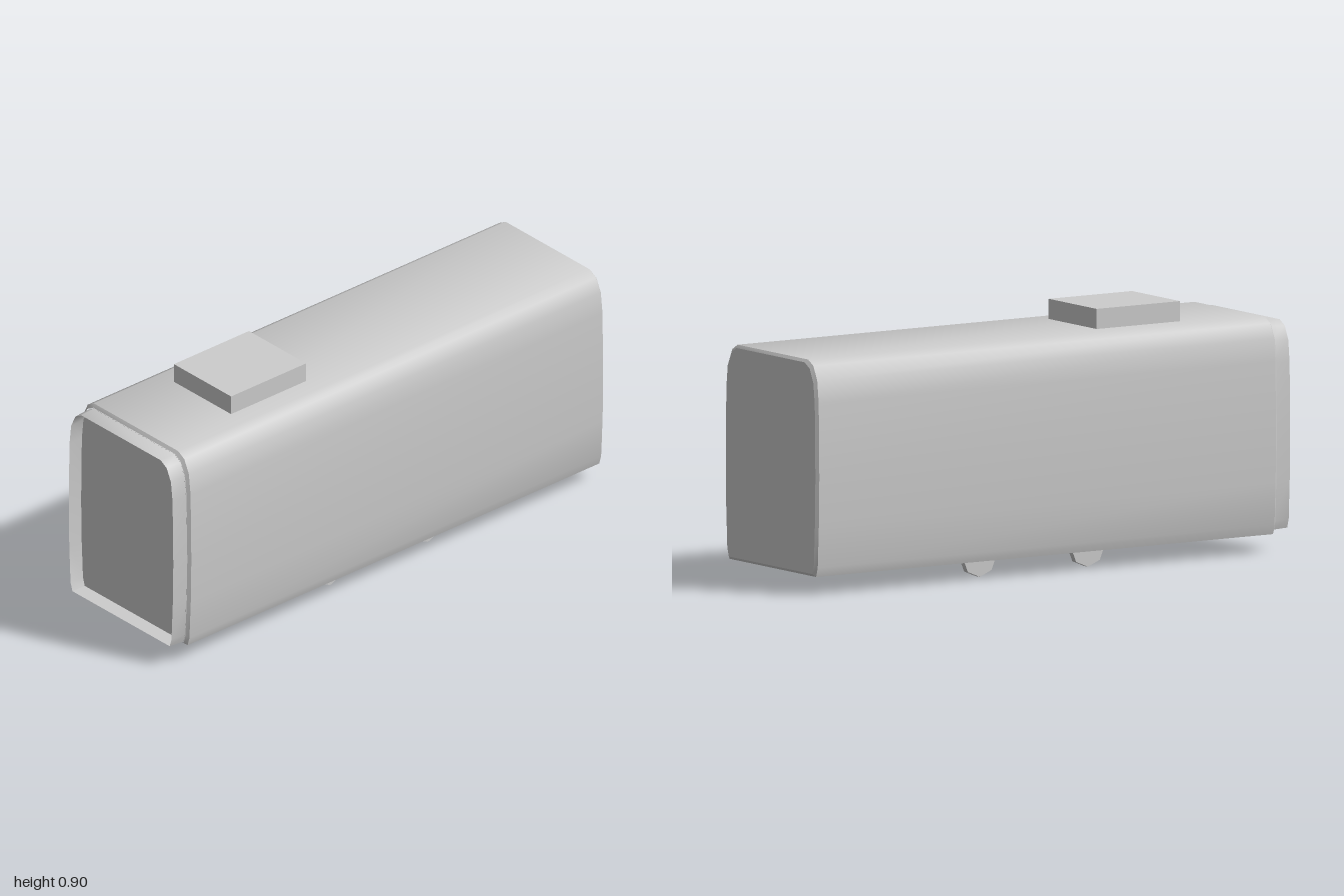
import * as THREE from 'three';
import { toCreasedNormals } from 'three/addons/utils/BufferGeometryUtils.js';

// right half of the body cross-section, bottom to top
const HALF = [
  [0.272, 0.067], [0.282, 0.1], [0.289, 0.25], [0.292, 0.42],
  [0.288, 0.68], [0.279, 0.76], [0.255, 0.81], [0.222, 0.829],
];
const PROFILE = [...HALF, ...HALF.map(([x, y]) => [-x, y]).reverse()];
const MID = 0.448;

// cross-section shrunk by a uniform inset
function section(inset) {
  const sx = 1 - inset / 0.292, sy = 1 - inset / 0.381;
  return PROFILE.map(([x, y]) => [x * sx, MID + (y - MID) * sy]);
}

// skin through stations [z, inset], ordered back to front
function loft(stations) {
  const pos = [], idx = [], n = PROFILE.length;
  for (const [z, inset] of stations) {
    for (const [x, y] of section(inset)) pos.push(x, y, z);
  }
  for (let s = 0; s < stations.length - 1; s++) {
    for (let i = 0; i < n; i++) {
      const a = s * n + i, b = s * n + (i + 1) % n;
      idx.push(a, b, a + n, b, b + n, a + n);
    }
  }
  const g = new THREE.BufferGeometry();
  g.setAttribute('position', new THREE.Float32BufferAttribute(pos, 3));
  g.setIndex(idx);
  return toCreasedNormals(g, 0.68);
}

// flat end plate facing +z
function plate(inset) {
  return new THREE.ShapeGeometry(
    new THREE.Shape(section(inset).map(([x, y]) => new THREE.Vector2(x, y))));
}

export function createModel() {
  const group = new THREE.Group();
  const grey = new THREE.MeshStandardMaterial({ color: 0xcccccc });
  const greyOpen = new THREE.MeshStandardMaterial({ color: 0xcccccc, side: THREE.DoubleSide });
  grey.name = 'grey';
  greyOpen.name = 'greyThin';

  function add(name, geometry, material = grey, x = 0, y = 0, z = 0) {
    const mesh = new THREE.Mesh(geometry, material);
    mesh.name = name;
    mesh.position.set(x, y, z);
    group.add(mesh);
    return mesh;
  }

  // long body shell with bevelled ends
  add('bodyShell', loft([[-1, 0.01], [-0.99, 0], [0.93, 0], [0.94, 0.01]]));
  add('rearPanel', plate(0.01), grey, 0, 0, -1).rotation.y = Math.PI;

  // open collar around the recessed front panel
  add('frontCollar', loft([[0.93, 0.013], [1, 0.016]]), greyOpen);
  add('frontPanel', plate(0.013), grey, 0, 0, 0.94);

  // roof unit
  add('roofBox', new THREE.BoxGeometry(0.302, 0.08, 0.35), grey, 0, 0.86, 0.445);

  // eight-sided wheels and the thin rails beside them
  const wheel = new THREE.CylinderGeometry(0.07, 0.07, 0.024, 8);
  wheel.rotateZ(Math.PI / 2);
  for (const side of [-1, 1]) {
    for (const z of [0.2, -0.255]) add('wheel', wheel, grey, side * 0.189, 0.071, z);
    add('rail', new THREE.BoxGeometry(0.028, 0.01, 0.455), grey, side * 0.214, 0.068, -0.028);
  }
  return group;
}
